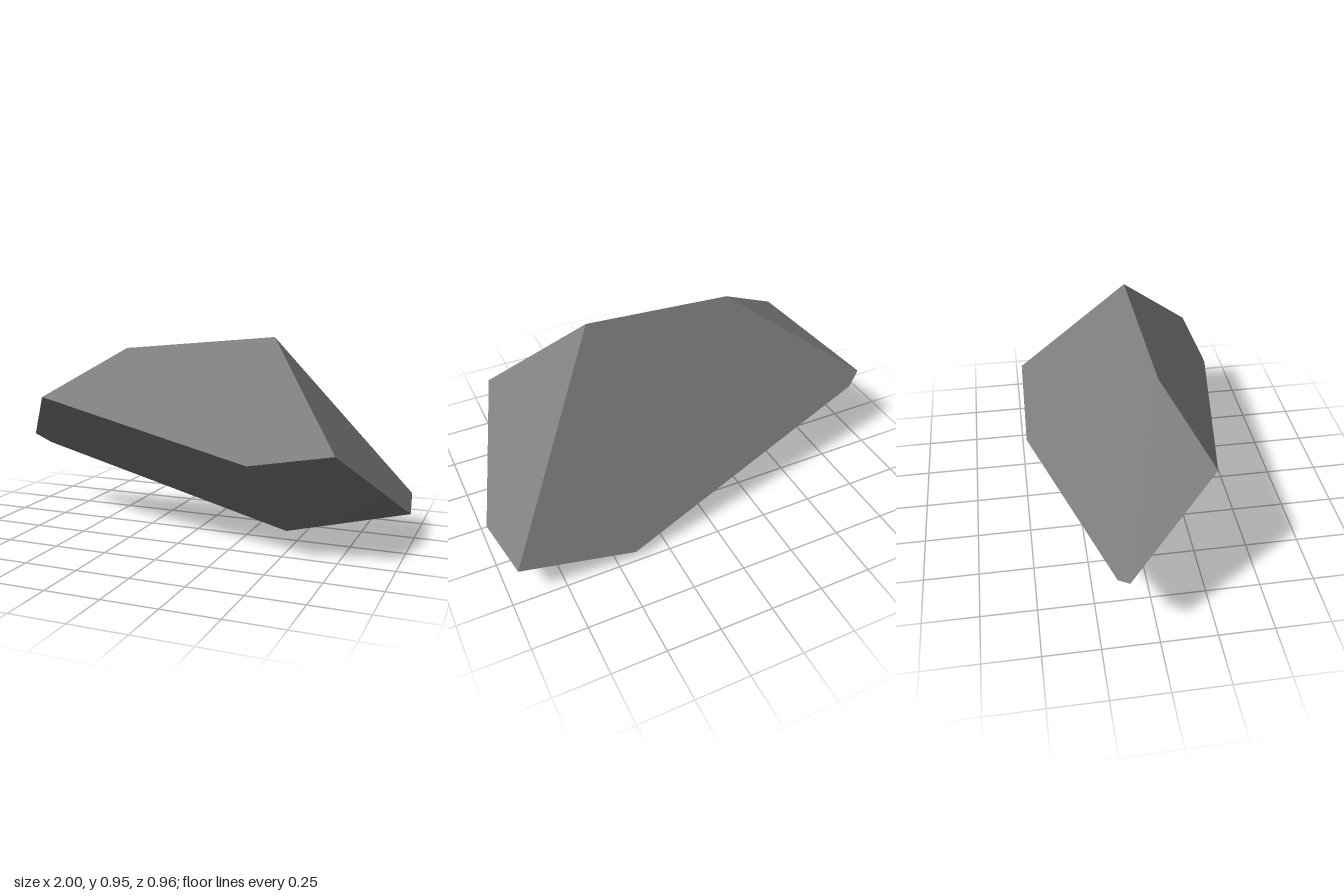
import * as THREE from 'three';

// Named corners of the faceted stone
const P = {
  leftTip: [-1, 0.38, -0.13], leftHeel: [-0.93, 0.33, -0.17],
  backLow: [0.41, 0.035, -0.48], backRight: [0.95, 0.16, -0.47],
  rightTip: [0.995, 0.145, -0.14], frontRight: [0.77, 0.51, 0.435],
  frontMid: [0.41, 0.45, 0.48], frontLeft: [-0.69, 0.65, 0.28],
  peakLeft: [-0.33, 0.88, 0.09], peakRight: [0.39, 0.95, 0.05],
  keel: [0.41, 0, -0.125],
};

// Builds one smooth-shaded mesh from convex corner loops (counterclockwise outside)
function facetMesh(name, loops, material) {
  const names = [...new Set(loops.flat())];
  const index = [];
  for (const loop of loops) {
    for (let i = 1; i < loop.length - 1; i++) {
      index.push(...[loop[0], loop[i], loop[i + 1]].map((n) => names.indexOf(n)));
    }
  }
  const geometry = new THREE.BufferGeometry();
  geometry.setAttribute('position', new THREE.Float32BufferAttribute(names.flatMap((n) => P[n]), 3));
  geometry.setIndex(index);
  geometry.computeVertexNormals();
  const mesh = new THREE.Mesh(geometry, material);
  mesh.name = name;
  return mesh;
}

export function createModel() {
  const group = new THREE.Group();
  group.name = 'stone';
  const stone = new THREE.MeshStandardMaterial({ color: 0x808080 });
  stone.name = 'stone grey';

  // Flat upper facets, each its own mesh so the edges between them stay sharp
  const facets = {
    frontFacet: ['frontLeft', 'frontMid', 'frontRight', 'peakRight', 'peakLeft'],
    rightFacet: ['frontRight', 'rightTip', 'backRight', 'peakRight'],
    leftFacet: ['leftTip', 'frontLeft', 'peakLeft'],
    backFacet: ['peakLeft', 'peakRight', 'backRight', 'backLow', 'leftHeel', 'leftTip'],
  };
  for (const [name, loop] of Object.entries(facets)) group.add(facetMesh(name, [loop], stone));

  // Rounded underside sharing smooth normals around the keel
  group.add(facetMesh('underside', [
    ['keel', 'rightTip', 'frontRight', 'frontMid'],
    ['keel', 'frontMid', 'frontLeft', 'leftTip', 'leftHeel'],
    ['rightTip', 'keel', 'backLow', 'backRight'],
    ['keel', 'leftHeel', 'backLow'],
  ], stone));
  return group;
}
